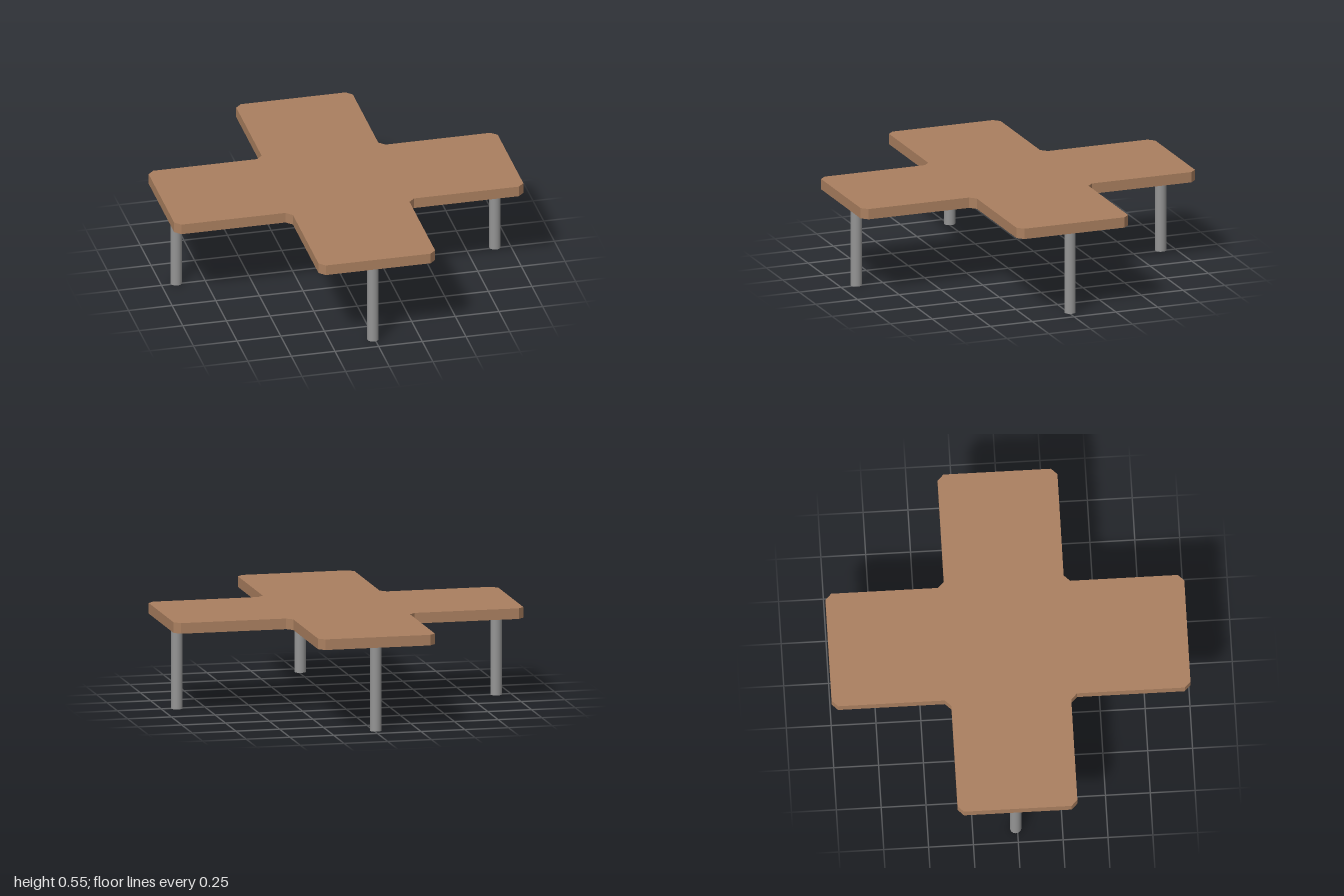
import * as THREE from 'three';

export function createModel() {
  const wood = new THREE.MeshStandardMaterial({ color: 0xaa7f5f });
  wood.name = 'brown wood';
  const metal = new THREE.MeshStandardMaterial({ color: 0x949494 });
  metal.name = 'grey metal';

  const table = new THREE.Group();
  table.name = 'crossTable';

  const underside = 0.485, thickness = 0.06;
  const halfWidth = 0.334, chamfer = 0.034;

  // Cross outline: one arm with its chamfered tip and inner corner, turned four times
  const arm = [
    [halfWidth + chamfer, -halfWidth],
    [1 - chamfer, -halfWidth],
    [1, -halfWidth + chamfer],
    [1, halfWidth - chamfer],
    [1 - chamfer, halfWidth],
    [halfWidth + chamfer, halfWidth],
  ];
  const nudge = (v) => (Math.abs(v) < 0.5 ? v - 0.0025 : v);
  const outline = [];
  for (let i = 0; i < 4; i++) {
    const c = [1, 0, -1, 0][i], s = [0, 1, 0, -1][i];
    for (const [x, z] of arm) {
      // shape y becomes -z once the slab is laid flat
      outline.push(new THREE.Vector2(nudge(x * c - z * s), -nudge(-(x * s + z * c))));
    }
  }

  // Table top
  const topGeometry = new THREE.ExtrudeGeometry(new THREE.Shape(outline), {
    depth: thickness, bevelEnabled: false,
  });
  topGeometry.rotateX(-Math.PI / 2);
  const top = new THREE.Mesh(topGeometry, wood);
  top.name = 'tableTop';
  top.position.y = underside;
  table.add(top);

  // One round leg near the tip of each arm
  const legGeometry = new THREE.CylinderGeometry(0.032, 0.032, underside, 24);
  const legs = [
    ['leftLeg', 0.912, -0.01],
    ['rightLeg', -0.914, -0.01],
    ['frontLeg', -0.01, 0.905],
    ['backLeg', -0.01, -0.916],
  ];
  for (const [name, x, z] of legs) {
    const leg = new THREE.Mesh(legGeometry, metal);
    leg.name = name;
    leg.position.set(x, underside / 2, z);
    table.add(leg);
  }

  return table;
}
